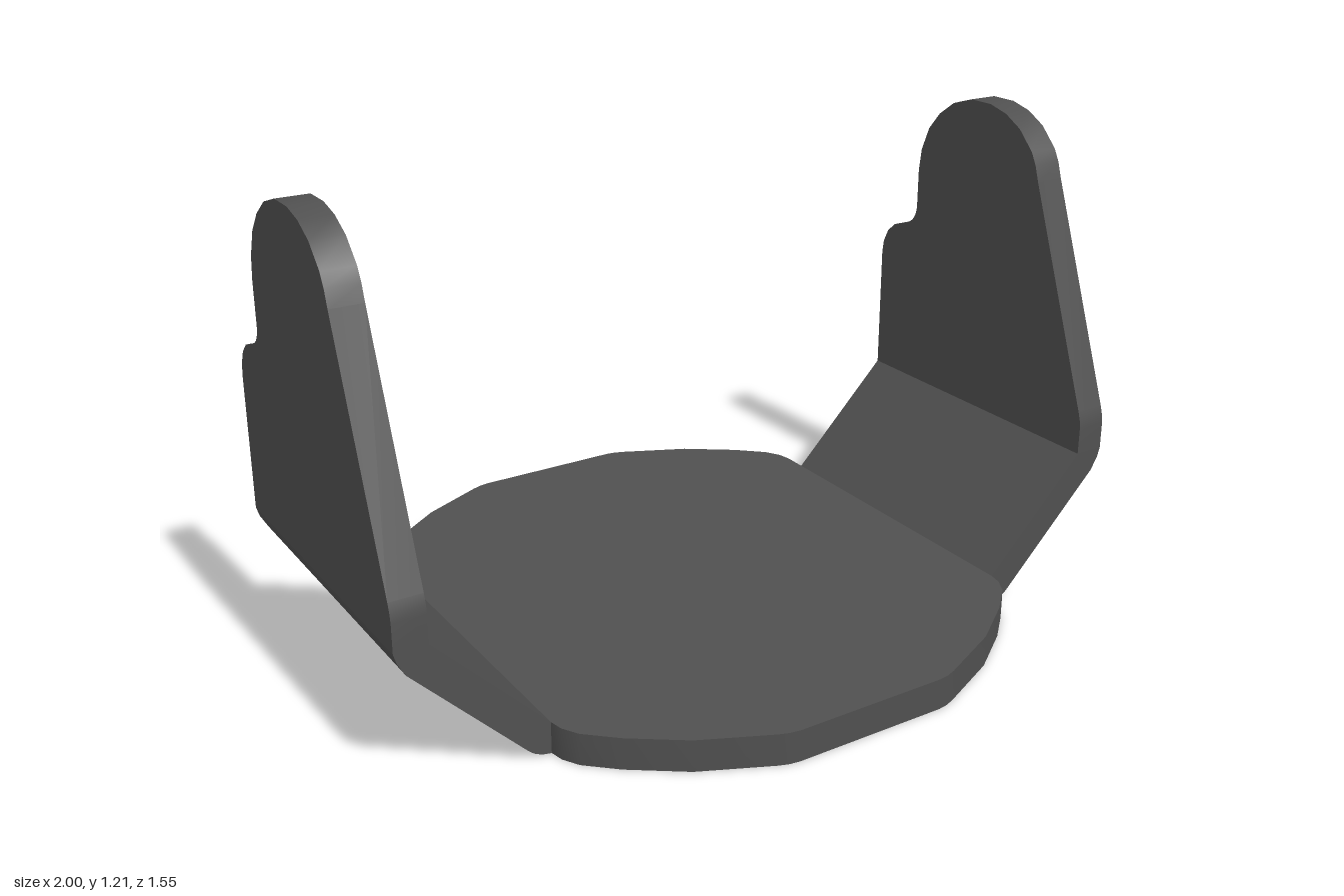
import * as THREE from 'three';
import { toCreasedNormals } from 'three/addons/utils/BufferGeometryUtils.js';
import { ConvexGeometry } from 'three/addons/geometries/ConvexGeometry.js';

const T = 0.08; // sheet thickness
const material = new THREE.MeshStandardMaterial({ color: 0x505050 });

// Extrude a closed outline of [u, v] points along +z
function extrude(points, depth) {
  const shape = new THREE.Shape(points.map(([u, v]) => new THREE.Vector2(u, v)));
  return new THREE.ExtrudeGeometry(shape, { depth, bevelEnabled: false });
}

function part(name, geometry, crease = 0.5) {
  const mesh = new THREE.Mesh(toCreasedNormals(geometry, crease), material);
  mesh.name = name;
  return mesh;
}

export function createModel() {
  const model = new THREE.Group();
  model.name = 'bracket';

  // Base plate: one quarter of the outline, mirrored into all four
  const quarter = [
    [0.645, 0.45], [0.638, 0.485], [0.615, 0.525], [0.545, 0.59],
    [0.42, 0.68], [0.25, 0.76], [0.225, 0.769], [0.2, 0.773],
  ];
  const half = [...quarter, ...quarter.map(([x, z]) => [-x, z]).reverse()];
  const outline = [...half, ...half.map(([x, z]) => [-x, -z])];
  model.add(part('basePlate', extrude(outline, T).rotateX(-Math.PI / 2)));

  // Sloped bend, section in x and y
  const bend = [
    [0.645, 0], [0.667, 0.004], [0.684, 0.011], [0.697, 0.0205],
    [0.705, 0.028], [0.974, 0.302], [0.993, 0.336], [1, 0.36],
    [0.92, 0.36], [0.645, T],
  ];

  // Upright ear, outline in -z and y
  const ear = [
    [-0.45, 0.36], [-0.45, 0.43], [-0.447, 0.452], [-0.44, 0.475],
    [-0.23, 1.04], [-0.217, 1.08], [-0.2, 1.112], [-0.15, 1.163],
    [-0.095, 1.193], [-0.035, 1.208], [0.04, 1.208], [0.11, 1.186],
    [0.165, 1.147], [0.205, 1.1], [0.232, 1.035], [0.24, 0.975],
    [0.24, 0.865], [0.245, 0.845], [0.256, 0.828], [0.275, 0.815],
    [0.335, 0.795], [0.363, 0.77], [0.38, 0.735], [0.385, 0.7],
    [0.385, 0.36],
  ];

  for (const [side, s] of [['left', 1], ['right', -1]]) {
    const slope = extrude(bend.map(([x, y]) => [x * s, y]), 0.835);
    slope.translate(0, 0, -0.385);
    model.add(part(side + 'Bend', slope, 0.25));

    const upright = extrude(ear, T).rotateY(Math.PI / 2);
    upright.translate(s > 0 ? 0.92 : -1, 0, 0);
    model.add(part(side + 'Ear', upright));
  }

  // Small wedge where the right bend meets the plate at the back
  const wedge = [
    [-0.645, T, -0.445], [-0.645, 0, -0.445], [-0.684, 0.011, -0.385],
    [-0.645, T, -0.385], [-0.645, 0, -0.385],
  ];
  const corners = wedge.map((p) => new THREE.Vector3(...p));
  model.add(part('cornerWedge', new ConvexGeometry(corners)));

  return model;
}
